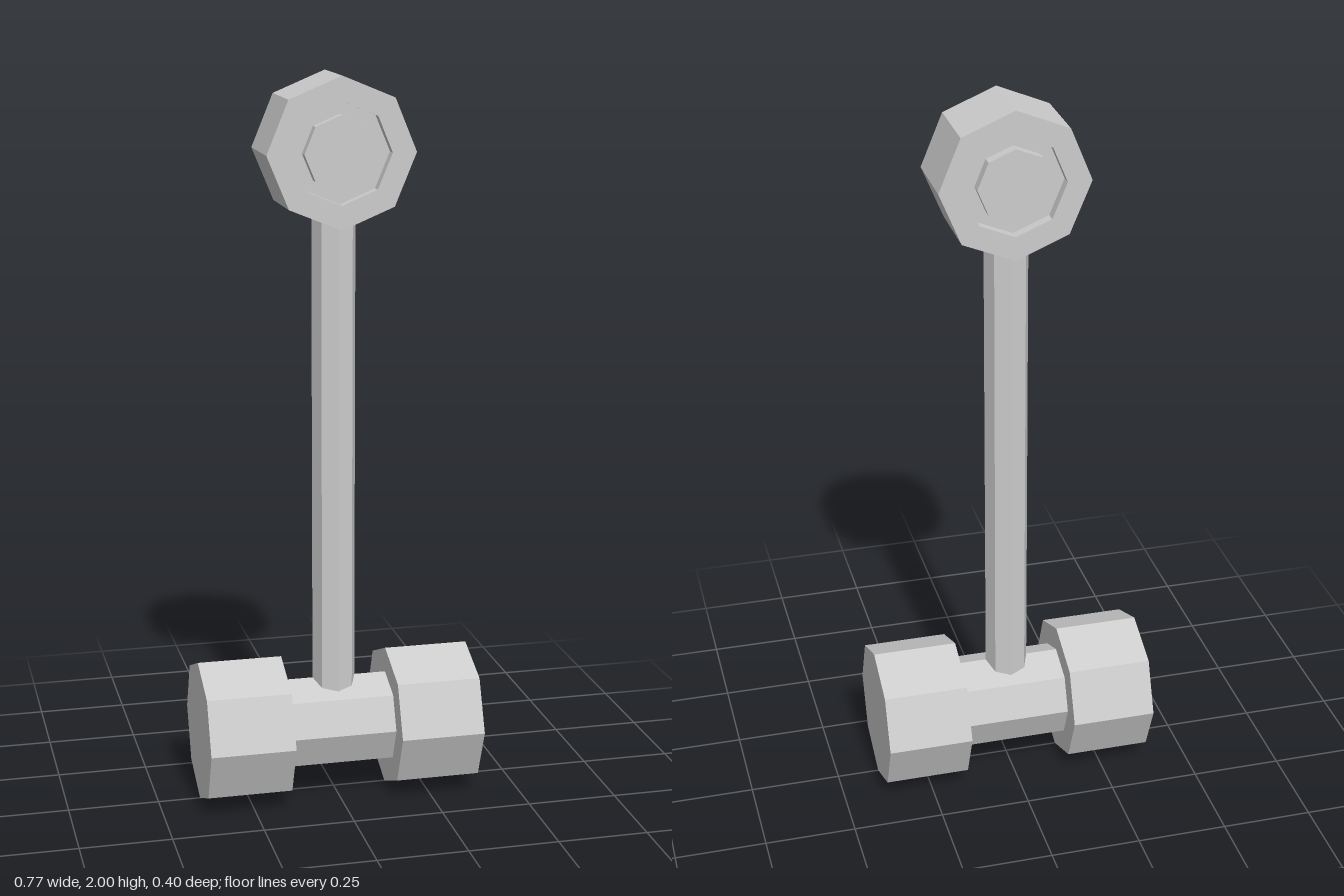
import * as THREE from 'three';

const SIDES = 8;

export function createModel() {
  const model = new THREE.Group();
  model.name = 'hammer';
  const grey = new THREE.MeshStandardMaterial({ color: 0xcccccc });
  grey.name = 'plain grey';
  grey.flatShading = true;

  const add = (name, geometry, x, y) => {
    const mesh = new THREE.Mesh(geometry, grey);
    mesh.name = name;
    mesh.position.set(x, y, 0);
    model.add(mesh);
  };

  // Octagonal bar with its corners on the axes
  const bar = (radius, length) => new THREE.CylinderGeometry(radius, radius, length, SIDES);

  // Head: two wide striking blocks joined by a narrow neck
  for (const side of [1, -1]) {
    add(side > 0 ? 'leftStrikingBlock' : 'rightStrikingBlock',
      bar(0.2, 0.234).rotateZ(Math.PI / 2), side * 0.266, 0.203);
  }
  add('headNeck', bar(0.13, 0.3).rotateZ(Math.PI / 2), 0, 0.203);

  // Handle, sunk into the neck and the pommel
  add('handle', bar(0.06, 1.36), 0, 0.96);

  // Pommel: thick disc with a groove cut around the centre of both faces
  const half = [[0, 0.1], [0.1, 0.1], [0.1, 0.07], [0.135, 0.07], [0.135, 0.1], [0.2, 0.1]];
  const profile = [
    ...half.map(([r, h]) => new THREE.Vector2(r, -h)),
    ...half.slice().reverse().map(([r, h]) => new THREE.Vector2(r, h)),
  ];
  add('pommel', new THREE.LatheGeometry(profile, SIDES).rotateX(Math.PI / 2), 0, 1.8);

  return model;
}
